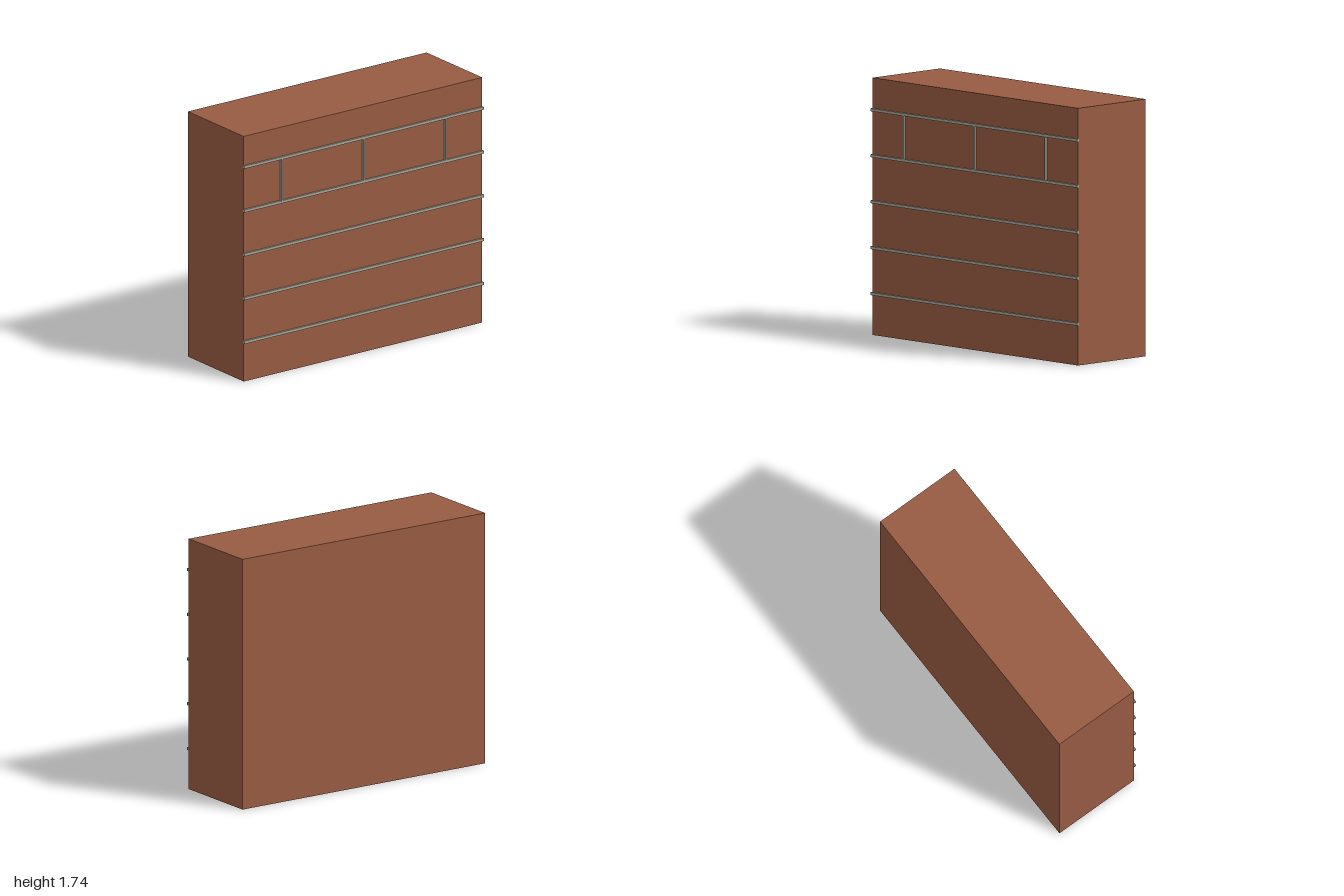
import * as THREE from 'three';

export function createModel() {
  const model = new THREE.Group();
  model.name = 'brickWall';
  const brick = new THREE.MeshStandardMaterial({ color: 0x985c43 });
  const mortar = new THREE.MeshStandardMaterial({ color: 0xa8a497 });

  function addBox(name, material, size, position) {
    const mesh = new THREE.Mesh(new THREE.BoxGeometry(...size), material);
    mesh.name = name;
    mesh.position.set(...position);
    model.add(mesh);
  }

  // Solid wall block
  addBox('wallBlock', brick, [1.99, 1.74, 0.625], [0, 0.87, -0.0075]);

  // Horizontal mortar courses, slightly proud of the front face
  const firstCourse = 0.28, spacing = 0.311;
  for (let i = 0; i < 5; i++) {
    addBox('mortarCourse' + (i + 1), mortar, [2, 0.019, 0.016],
      [0, firstCourse + i * spacing, 0.311]);
  }

  // Upright joints between the two highest courses
  for (const x of [-0.685, 0, 0.685]) {
    addBox('mortarJoint', mortar, [0.014, 0.3, 0.016], [x, firstCourse + 3.5 * spacing, 0.312]);
  }

  return model;
}
